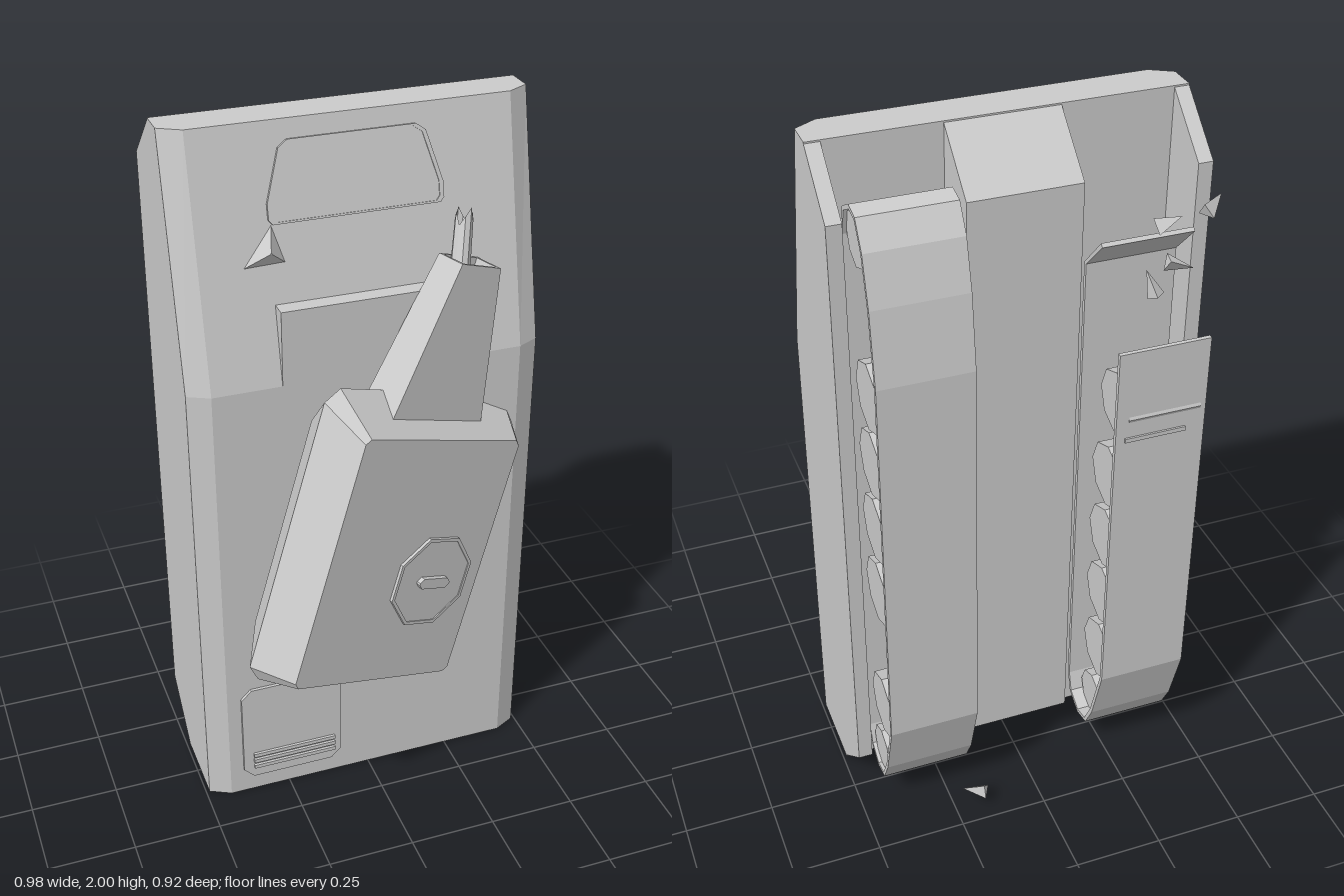
import * as THREE from 'three';

const paint = new THREE.MeshStandardMaterial({ color: 0xcccccc, flatShading: true, side: THREE.DoubleSide });
paint.name = 'primer grey';

function add(parent, name, geometry, x = 0, y = 0, z = 0) {
  const mesh = new THREE.Mesh(geometry, paint);
  mesh.name = name;
  mesh.position.set(x, y, z);
  parent.add(mesh);
  return mesh;
}

// Closed skin through rings of [x, y, z] points, facing outward
function loft(rings, capEnd = true) {
  const n = rings[0].length, tris = [];
  for (let k = 0; k < rings.length - 1; k++) {
    for (let i = 0; i < n; i++) {
      const j = (i + 1) % n, a = rings[k], b = rings[k + 1];
      tris.push([a[i], a[j], b[j]], [a[i], b[j], b[i]]);
    }
  }
  const first = rings[0], last = rings[rings.length - 1];
  for (let i = 1; i < n - 1; i++) {
    tris.push([first[0], first[i + 1], first[i]]);
    if (capEnd) tris.push([last[0], last[i], last[i + 1]]);
  }
  const mid = new THREE.Vector3(...first[0]);
  let volume = 0;
  for (const t of tris) {
    const [a, b, c] = t.map(p => new THREE.Vector3(...p).sub(mid));
    volume += a.dot(b.cross(c));
  }
  if (volume < 0) tris.forEach(t => t.reverse());
  const g = new THREE.BufferGeometry();
  g.setAttribute('position', new THREE.Float32BufferAttribute(tris.flat(2), 3));
  g.computeVertexNormals();
  return g;
}

const shapeOf = pts => new THREE.Shape(pts.map(p => new THREE.Vector2(...p)));
const extrude = (shape, depth) => new THREE.ExtrudeGeometry(shape, { depth, bevelEnabled: false });

// Side profile given as [depth behind z = 0, height], extruded from x0 to x1
function sideExtrude(pts, x0, x1) {
  return extrude(shapeOf(pts), x1 - x0).rotateY(Math.PI / 2).translate(x0, 0, 0);
}

// Strip of even thickness that follows an open path
function strip(path, t) {
  const inner = path.map((p, i) => {
    const a = path[Math.max(i - 1, 0)], b = path[Math.min(i + 1, path.length - 1)];
    const dx = b[0] - a[0], dy = b[1] - a[1], l = Math.hypot(dx, dy);
    return [p[0] - (dy / l) * t, p[1] + (dx / l) * t];
  });
  return [...path, ...inner.reverse()];
}

// Plate outline with a raised rim
function rimmedPlate(parent, name, pts, scale) {
  const rim = shapeOf(pts);
  rim.holes.push(new THREE.Path(pts.map(p => new THREE.Vector2(p[0] * scale, p[1] * scale))));
  add(parent, name + 'Rim', extrude(rim, 0.009));
  add(parent, name, extrude(shapeOf(pts.map(p => [p[0] * scale, p[1] * scale])), 0.006));
}

function cutRect(x0, x1, y0, y1, c) {
  return [[x0 + c, y0], [x1 - c, y0], [x1, y0 + c], [x1, y1 - c], [x1 - c, y1], [x0 + c, y1], [x0, y1 - c], [x0, y0 + c]];
}

function makeHull() {
  const hull = new THREE.Group();
  hull.name = 'hull';
  const section = (y, front, edge) => [
    [-0.49, y, -0.13], [-0.49, y, edge], [-0.43, y, front],
    [0.43, y, front], [0.49, y, edge], [0.49, y, -0.13]];
  add(hull, 'upperHull', loft([section(0, 0.13, 0.1), section(1.34, 0.13, 0.1), section(2, -0.015, -0.05)]));

  // Belly and side skirts share one chamfered profile
  const low = [[0.125, 0], [0.285, 0.145], [0.285, 1.86], [0.125, 2]];
  add(hull, 'belly', sideExtrude(low, -0.15, 0.15));
  add(hull, 'skirt', sideExtrude(low, 0.45, 0.49));
  add(hull, 'skirt', sideExtrude(low, -0.49, -0.45));

  // Step at the foot of the sloping nose plate
  add(hull, 'noseStep', new THREE.BoxGeometry(0.44, 0.22, 0.1), -0.02, 1.44, 0.081);

  // Nose hatch lying on the slope
  const hatch = new THREE.Group();
  hatch.name = 'noseHatch';
  hatch.position.set(-0.005, 1.85, 0.018);
  hatch.rotation.x = -0.216;
  rimmedPlate(hatch, 'noseHatchPlate', [[-0.225, -0.103], [0.225, -0.103], [0.235, -0.09], [0.235, -0.05],
    [0.195, 0.085], [0.17, 0.103], [-0.17, 0.103], [-0.195, 0.085], [-0.235, -0.05], [-0.235, -0.09]], 0.95);
  hull.add(hatch);

  // Engine cover with vent slats
  add(hull, 'engineCover', extrude(shapeOf(cutRect(-0.39, -0.09, 0.055, 0.375, 0.03)), 0.009), 0, 0, 0.13);
  for (let i = 0; i < 3; i++) {
    add(hull, 'ventSlat', new THREE.BoxGeometry(0.25, 0.012, 0.012), -0.235, 0.095 + i * 0.021, 0.141);
  }

  // Torn metal on the nose plate
  add(hull, 'tornPlate', loft([[[-0.33, 1.64, 0.055], [-0.2, 1.65, 0.058], [-0.23, 1.76, 0.03]],
    [[-0.25, 1.69, 0.085], [-0.245, 1.69, 0.085], [-0.247, 1.695, 0.085]]]));
  return hull;
}

function makeRunningGear() {
  const gear = new THREE.Group();
  gear.name = 'runningGear';
  const bottom = [[0.21, 0.2], [0.23, 0.135], [0.29, 0.1], [0.35, 0.115], [0.39, 0.19], [0.445, 0.37]];
  const top = [[0.447, 1.5], [0.42, 1.7], [0.385, 1.83], [0.34, 1.9], [0.29, 1.91], [0.235, 1.88], [0.21, 1.8]];

  // Whole track, and a broken one with its upper end peeled back
  add(gear, 'wholeTrack', sideExtrude(strip([...bottom, ...top, [0.21, 0.2]], 0.012), 0.185, 0.435));
  add(gear, 'brokenTrack', sideExtrude(strip([[0.305, 1.7], [0.21, 1.6], ...bottom, [0.447, 1.46]], 0.012), -0.44, -0.19));
  add(gear, 'trackCrack', new THREE.BoxGeometry(0.17, 0.012, 0.008), -0.3, 1.2, -0.448);

  // Eight-sided wheels: [height, depth, radius]
  const wheel = (side, y, z, r) => add(gear, 'wheel',
    new THREE.CylinderGeometry(r, r, 0.2, 8).rotateZ(Math.PI / 2), side * 0.325, y, z);
  for (const y of [1.41, 1.21, 1.005, 0.795, 0.38]) wheel(1, y, -0.333, 0.095);
  for (const y of [1.005, 0.795, 0.59, 0.38]) wheel(-1, y, -0.333, 0.095);
  wheel(-1, 1.26, -0.36, 0.09);
  wheel(1, 1.82, -0.295, 0.072);
  for (const s of [1, -1]) wheel(s, 0.18, -0.305, 0.07);

  // Track splinters
  const shards = [[-0.42, 1.83, -0.43], [-0.35, 1.67, -0.42], [-0.31, 1.8, -0.43], [-0.27, 1.64, -0.43], [0.19, 0.05, -0.43]];
  shards.forEach((p, i) => {
    const shard = add(gear, 'splinter', new THREE.ConeGeometry(0.025, 0.07, 3), ...p);
    shard.rotation.set(0.5 + i, 0.3, 1 + i * 0.8);
  });
  return gear;
}

function makeTurret() {
  const turret = new THREE.Group();
  turret.name = 'turret';
  // Knocked askew: own axes are right, gun direction and roof normal
  const n = new THREE.Vector3(0.303, 0.009, 0.952).normalize();
  const r = new THREE.Vector3(0.323, 0.94, -0.112).cross(n).normalize();
  const u = n.clone().cross(r);
  turret.quaternion.setFromRotationMatrix(new THREE.Matrix4().makeBasis(r, u, n));
  turret.position.set(0.039, 0.859, 0.335);

  const ring = (w, back, front, c, z) => cutRect(-w, w, back, front, c).map(p => [...p, z]);
  add(turret, 'turretBody', loft([
    ring(0.27, -0.33, 0.36, 0.05, -0.23), ring(0.335, -0.4, 0.44, 0.04, -0.13), ring(0.28, -0.36, 0.355, 0.015, 0)]));

  // Roof hatch with handle
  const hatch = new THREE.Group();
  hatch.name = 'roofHatch';
  hatch.position.set(0.1, -0.06, 0);
  const octagon = Array.from({ length: 8 }, (_, i) => {
    const a = (i + 0.5) * Math.PI / 4;
    return [0.14 * Math.cos(a), 0.14 * Math.sin(a)];
  });
  rimmedPlate(hatch, 'roofHatchPlate', octagon, 0.93);
  add(hatch, 'hatchHandle', extrude(shapeOf(cutRect(-0.055, 0.055, -0.015, 0.015, 0.012)), 0.02));
  turret.add(hatch);

  // Tapered gun shield, open at the muzzle end
  const shield = (w, y, z0, z1) => [[-w, y, z0], [w, y, z0], [w, y, z1], [-w, y, z1]];
  add(turret, 'gunShield', loft([shield(0.165, 0.37, -0.18, -0.052), shield(0.07, 0.81, -0.155, -0.063),
    shield(0.06, 0.81, -0.147, -0.071), shield(0.06, 0.72, -0.147, -0.071)]));

  // Snapped barrel with a ragged rim
  const tube = new THREE.CylinderGeometry(0.024, 0.028, 0.24, 10, 1, true);
  const pos = tube.attributes.position;
  for (let i = 0; i < pos.count; i++) {
    if (pos.getY(i) > 0) pos.setY(i, 0.12 - 0.045 * ((i * 3) % 5) / 4);
  }
  const barrel = add(turret, 'barrelStub', tube, -0.022, 0.82, -0.125);
  barrel.rotation.set(-0.22, 0, 0.08);
  return turret;
}

export function createModel() {
  const model = new THREE.Group();
  model.name = 'wreckedTank';
  model.add(makeHull(), makeRunningGear(), makeTurret());
  return model;
}
